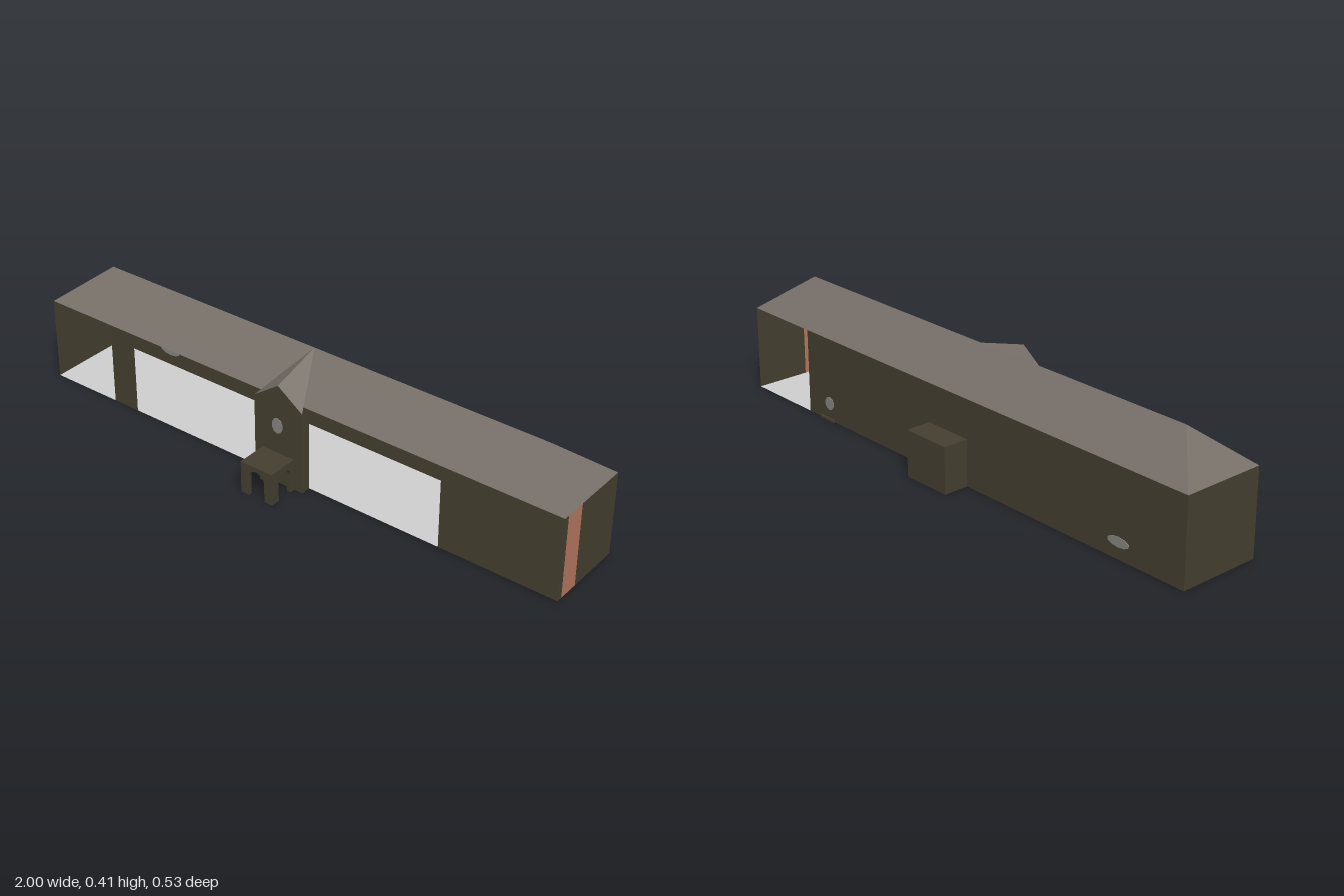
import * as THREE from 'three';

export function createModel() {
  const material = (name, color, side = THREE.DoubleSide) => {
    const m = new THREE.MeshStandardMaterial({ color, side });
    m.name = name;
    return m;
  };
  const wall = material('dark olive wall', 0x453f30);
  const roof = material('grey slate roof', 0x766f68);
  const brick = material('red brick', 0xb5775f);
  const floorGrey = material('pale floor', 0xcfcfcf);
  const ornament = material('grey ornament', 0x85857f);

  const model = new THREE.Group();
  model.name = 'longHall';
  const hall = new THREE.Group(); // the hall stands slightly turned
  hall.name = 'hall';
  hall.rotation.y = -0.0962;
  hall.position.z = -0.0275;
  model.add(hall);

  const L = 0.99, W = 0.1435, EAVE = 0.288, RIDGE = 0.405, RL = 0.845;
  const TW = 0.093, TZ = 0.178; // entrance bay half width and front

  const add = (name, geometry, mat, x = 0, y = 0, z = 0) => {
    const mesh = new THREE.Mesh(geometry, mat);
    mesh.name = name;
    mesh.position.set(x, y, z);
    hall.add(mesh);
    return mesh;
  };
  // flat polygons, each a fan of corners in counter-clockwise order from outside
  const faces = (name, mat, ...polys) => {
    const p = [];
    for (const c of polys)
      for (let i = 1; i < c.length - 1; i++) p.push(...c[0], ...c[i], ...c[i + 1]);
    const g = new THREE.BufferGeometry();
    g.setAttribute('position', new THREE.Float32BufferAttribute(p, 3));
    g.computeVertexNormals();
    return add(name, g, mat);
  };
  // upright wall between two plan points, outside on the right of the walk
  const upright = (name, x0, z0, x1, z1, mat = wall) =>
    faces(name, mat, [[x0, 0, z0], [x1, 0, z1], [x1, EAVE, z1], [x0, EAVE, z0]]);

  faces('floor', floorGrey, [[-L, 0, W], [L, 0, W], [L, 0, -W], [-L, 0, -W]]);

  // front wall panels with open bays between them
  upright('frontPier', -0.73, W, -0.629, W);
  upright('frontPanel', 0.577, W, L, W);
  // end walls, one with a brick panel
  upright('leftEndFrontStrip', L, W, L, 0.123);
  upright('leftEndBrickPanel', L, 0.123, L, 0.05, brick);
  upright('leftEndWall', L, 0.05, L, -W);
  upright('rightEndWall', -L, -W, -L, W);
  // back wall, open at one end
  upright('backWall', 0.7, -W, -L, -W);

  // hipped main roof
  const A = [-L, EAVE, W], B = [L, EAVE, W], C = [L, EAVE, -W], D = [-L, EAVE, -W];
  const R0 = [-RL, RIDGE, 0], R1 = [RL, RIDGE, 0];
  faces('mainRoof', roof, [A, B, R1, R0], [B, C, R1], [C, D, R0, R1], [D, A, R0]);

  // projecting entrance bay with its gable
  upright('entranceFront', -TW, TZ, TW, TZ);
  upright('entranceLeftSide', TW, TZ, TW, W);
  upright('entranceRightSide', -TW, W, -TW, TZ);
  const gl = [-TW, EAVE, TZ], gr = [TW, EAVE, TZ], apex = [0, 0.354, TZ], top = [0, RIDGE, 0];
  faces('entranceGable', wall, [gl, gr, apex]);
  faces('entranceRoof', roof, [gr, top, apex], [apex, top, gl]);

  // arched porch: a front slab, two side slabs and a flat top
  const T = 0.014, PH = 0.112, PF = 0.286, PX = 0.061;
  const archSlab = (half, open) => {
    const s = new THREE.Shape();
    s.moveTo(-half, 0);
    s.lineTo(-open, 0);
    s.lineTo(-open, 0.065);
    s.absarc(0, 0.065, open, Math.PI, 0, true);
    s.lineTo(open, 0);
    s.lineTo(half, 0);
    s.lineTo(half, PH);
    s.lineTo(-half, PH);
    return new THREE.ExtrudeGeometry(s, { depth: T, bevelEnabled: false, curveSegments: 10 });
  };
  add('porchFront', archSlab(PX, 0.031), wall, 0, 0, PF - T);
  const mid = (PF - T + TZ) / 2, half = (PF - T - TZ) / 2;
  for (const side of [-1, 1]) {
    const slab = add('porchSide', archSlab(half, 0.028), wall, side > 0 ? PX - T : -PX, 0, mid);
    slab.rotation.y = Math.PI / 2;
  }
  add('porchTop', new THREE.BoxGeometry(2 * PX - 0.002, 0.012, PF - TZ - 0.002), wall,
    0, PH - 0.0065, (PF + TZ) / 2);

  // rear annex and low back step
  add('rearAnnex', new THREE.BoxGeometry(0.176, 0.157, 0.089), wall, -0.01, 0.0785, -W - 0.0445);
  add('backStep', new THREE.BoxGeometry(0.07, 0.008, 0.008), wall, 0.6, 0.004, -W - 0.004);

  // thin ornaments on the walls
  const plaque = (name, x, y, z, w, h) => {
    const g = new THREE.CylinderGeometry(0.5, 0.5, 0.005, 10).rotateX(Math.PI / 2);
    add(name, g, ornament, x, y, z).scale.set(w, h, 1);
  };
  plaque('gablePlaque', -0.003, 0.21, TZ, 0.042, 0.055);
  plaque('backPlaque', 0.59, 0.06, -W, 0.045, 0.045);
  plaque('backPlaque', -0.74, 0.055, -W, 0.085, 0.032);

  return model;
}
